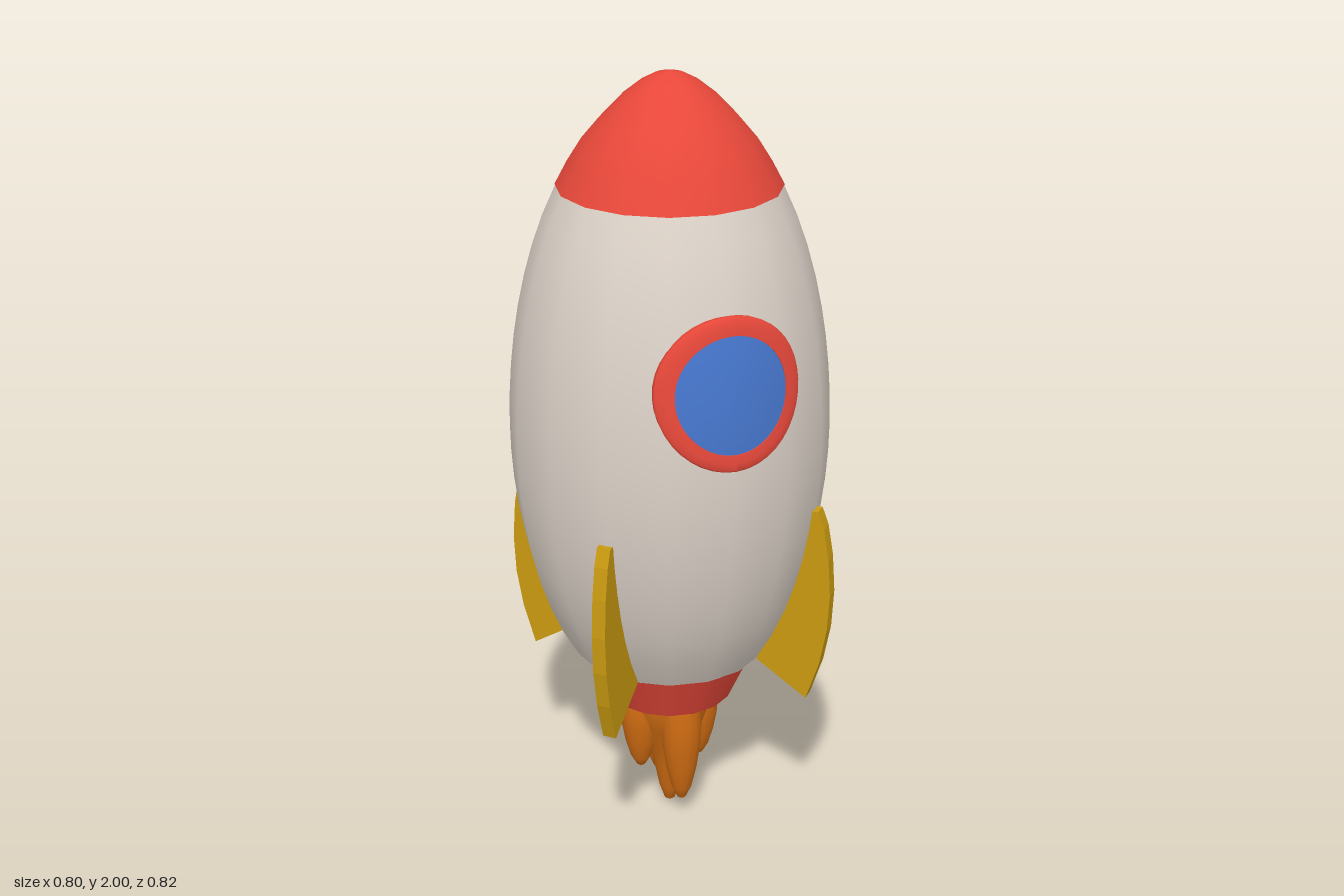
import * as THREE from 'three';

const material = (name, color, extra = {}) => {
  const m = new THREE.MeshStandardMaterial({ color, ...extra });
  m.name = name;
  return m;
};

// Hull radius at height y: two half ellipses meeting at the widest point
const hullRadius = (y) => {
  const t = (y - 1.1) / (y > 1.1 ? 0.854 : 0.768);
  return 0.4 * Math.sqrt(1 - t * t);
};

// Lathe from [radius, height] pairs; a repeated pair gives a sharp edge
const lathe = (pairs, sides) =>
  new THREE.LatheGeometry(pairs.map(([r, y]) => new THREE.Vector2(r, y)), sides);

export function createModel() {
  const red = material('red', 0xe8483a);
  const white = material('warm white', 0xdcd2c8);
  const yellow = material('mustard yellow', 0xc99a10);
  const blue = material('window blue', 0x4676cc);
  const orange = material('flame orange', 0xd06c12);

  const rocket = new THREE.Group();
  rocket.name = 'rocket';
  const add = (name, geometry, mat, parent = rocket) => {
    const mesh = new THREE.Mesh(geometry, mat);
    mesh.name = name;
    parent.add(mesh);
    return mesh;
  };

  // Hull with a flat underside
  const hull = [[0, 0.5], [0.25, 0.5]];
  for (let i = 0; i <= 16; i++) {
    const y = 0.5 + (1.73 - 0.5) * i / 16;
    hull.push([hullRadius(y), y]);
  }
  add('hull', lathe(hull, 16), white);

  // Nose cone, with a tiny lip over the hull
  add('noseCone', lathe([
    [0.26, 1.727], [0.274, 1.727], [0.274, 1.727], [0.243, 1.785], [0.208, 1.84],
    [0.165, 1.89], [0.118, 1.938], [0.07, 1.975], [0.035, 1.993], [0, 2],
  ], 16), red);

  // Nozzle with a shallow recess below
  add('nozzle', lathe([
    [0, 0.39], [0.13, 0.39], [0.13, 0.39], [0.145, 0.36], [0.145, 0.36],
    [0.165, 0.36], [0.165, 0.36], [0.228, 0.502],
  ], 16), red);

  // Round window, bent to follow the hull
  const windowY = 1.33;
  const bend = (geometry) => {
    geometry.rotateX(Math.PI / 2);
    const p = geometry.attributes.position;
    for (let i = 0; i < p.count; i++) {
      const x = p.getX(i), y = p.getY(i) + windowY;
      const r = hullRadius(y);
      p.setXYZ(i, x, y, p.getZ(i) + Math.sqrt(r * r - x * x));
    }
    geometry.computeVertexNormals();
    return geometry;
  };
  const porthole = new THREE.Group();
  porthole.name = 'porthole';
  rocket.add(porthole);
  add('windowFrame', bend(lathe([
    [0.178, -0.02], [0.183, 0.01], [0.183, 0.01], [0.178, 0.016],
    [0.16, 0.017], [0.14, 0.015], [0.14, 0.015], [0.138, 0],
  ], 40)), red, porthole);
  add('windowGlass', bend(lathe([
    [0.14, 0.013], [0.105, 0.014], [0.07, 0.014], [0.035, 0.014], [0, 0.014],
  ], 40)), blue, porthole);

  // Four diagonal fins, inner edge buried in the hull
  const outline = [
    [0.25, 0.5], [0.385, 0.415], [0.418, 0.52], [0.436, 0.62], [0.441, 0.72],
    [0.434, 0.82], [0.42, 0.9], [0.403, 0.945], [0.38, 0.945], [0.3, 0.72],
  ].map(([x, y]) => new THREE.Vector2(x, y));
  const finGeometry = new THREE.ExtrudeGeometry(new THREE.Shape(outline), {
    depth: 0.035, bevelEnabled: false,
  });
  finGeometry.translate(0, 0, -0.0175);
  for (let i = 0; i < 4; i++) {
    add('fin', finGeometry, yellow).rotation.y = Math.PI / 4 + i * Math.PI / 2;
  }

  // Exhaust flame: a long core with four shorter tongues
  const flame = new THREE.Group();
  flame.name = 'flame';
  rocket.add(flame);
  add('flameCore', lathe([
    [0, 0], [0.014, 0.01], [0.028, 0.05], [0.042, 0.12], [0.06, 0.19],
    [0.09, 0.26], [0.11, 0.32], [0.112, 0.4],
  ], 16), orange, flame);
  for (let i = 0; i < 4; i++) {
    const tip = i % 2 ? 0.055 : 0.13;
    const height = 0.4 - tip;
    const tongue = add('flameTongue', lathe([
      [0, 0], [0.012, 0.02], [0.027, 0.12], [0.041, 0.3], [0.051, 0.5],
      [0.053, 0.65], [0.05, 0.8], [0.042, 1],
    ].map(([r, t]) => [r, t * height]), 14), orange, flame);
    const a = i * Math.PI / 2;
    tongue.position.set(0.083 * Math.cos(a), tip, 0.083 * Math.sin(a));
  }

  // Centre front to back
  rocket.position.z = -0.005;
  const model = new THREE.Group();
  model.name = 'rocketModel';
  model.add(rocket);
  return model;
}
